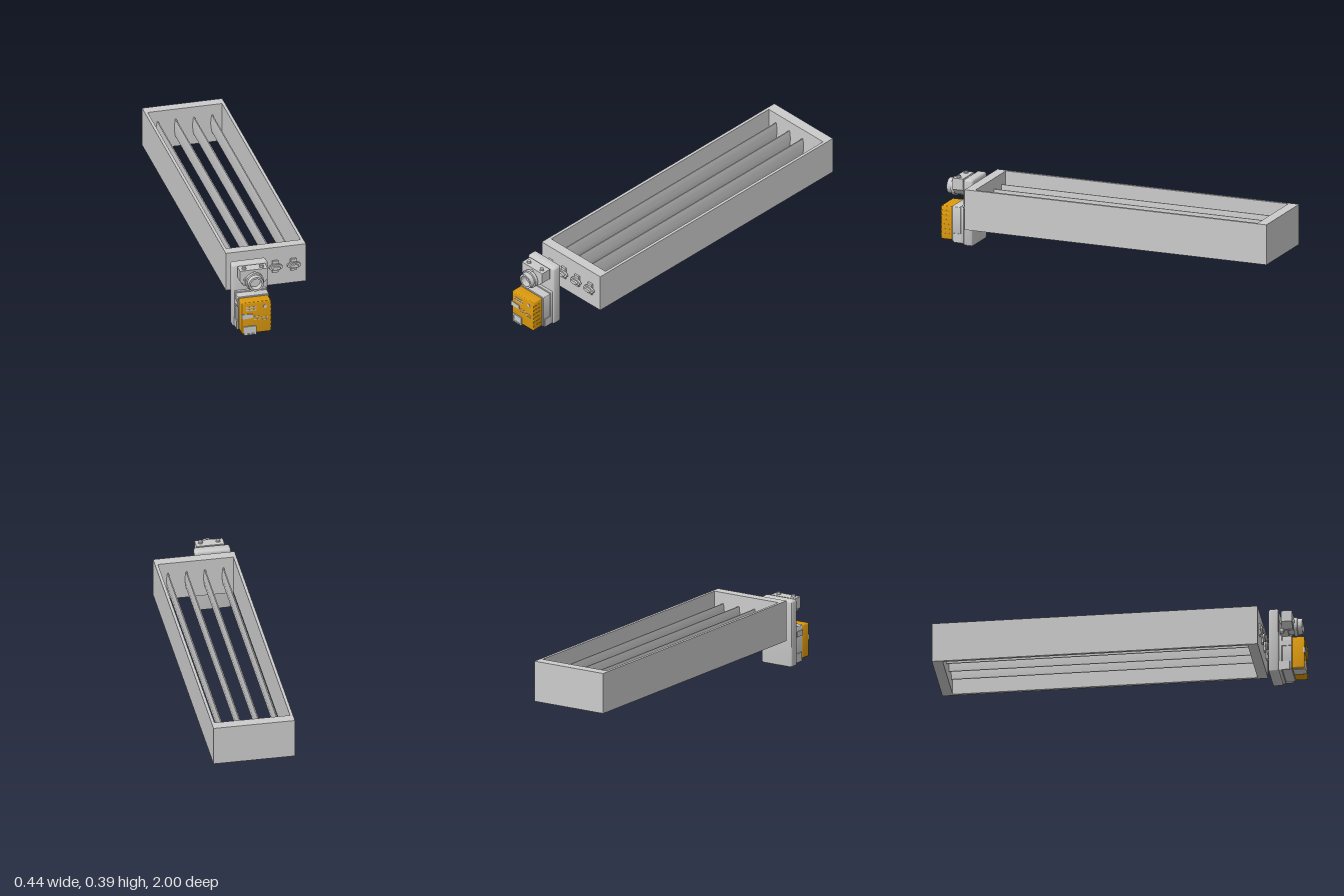
import * as THREE from 'three';
import { toCreasedNormals } from 'three/addons/utils/BufferGeometryUtils.js';

const grey = new THREE.MeshStandardMaterial({ color: 0xcccccc });
const amber = new THREE.MeshStandardMaterial({ color: 0xdb990f });

function add(parent, name, geometry, x = 0, y = 0, z = 0, material = grey) {
  const mesh = new THREE.Mesh(geometry, material);
  mesh.name = name;
  mesh.position.set(x, y, z);
  parent.add(mesh);
  return mesh;
}

// Box given by its limits
function box(parent, name, x0, x1, y0, y1, z0, z1, material = grey) {
  return add(parent, name, new THREE.BoxGeometry(x1 - x0, y1 - y0, z1 - z0),
    (x0 + x1) / 2, (y0 + y1) / 2, (z0 + z1) / 2, material);
}

// Extrusion along z between z0 and z1, with an optional rounded edge that stays inside the outline
function prism(shape, z0, z1, bevel = 0, segments = 1) {
  const g = new THREE.ExtrudeGeometry(shape, {
    depth: z1 - z0 - 2 * bevel, bevelEnabled: bevel > 0, bevelThickness: bevel,
    bevelSize: bevel, bevelOffset: -bevel, bevelSegments: segments, curveSegments: 12,
  });
  g.translate(0, 0, z0 + bevel);
  return toCreasedNormals(g, 0.6);
}

function roundedRect(x0, x1, y0, y1, r) {
  const s = new THREE.Shape();
  s.absarc(x1 - r, y1 - r, r, 0, Math.PI / 2);
  s.absarc(x0 + r, y1 - r, r, Math.PI / 2, Math.PI);
  s.absarc(x0 + r, y0 + r, r, Math.PI, Math.PI * 1.5);
  s.absarc(x1 - r, y0 + r, r, Math.PI * 1.5, Math.PI * 2);
  s.closePath();
  return s;
}

const polygon = pts => new THREE.Shape(pts.map(p => new THREE.Vector2(...p)));

function ellipse(rx, ry) {
  const s = new THREE.Shape();
  s.absellipse(0, 0, rx, ry, 0, Math.PI * 2);
  return s;
}

// Disc or stub with its axis along z
function stub(parent, name, x, y, r, z0, z1) {
  const g = new THREE.CylinderGeometry(r, r, z1 - z0, 24);
  g.rotateX(Math.PI / 2);
  return add(parent, name, g, x, y, (z0 + z1) / 2);
}

function createDamper() {
  const damper = new THREE.Group();
  damper.name = 'damper';

  // Open duct frame, extruded upwards
  const outline = polygon([[-0.22, -0.745], [0.22, -0.745], [0.22, 1], [-0.22, 1]]);
  outline.holes.push(new THREE.Path([[-0.204, -0.69], [-0.204, 0.943], [0.204, 0.943], [0.204, -0.69]]
    .map(p => new THREE.Vector2(...p))));
  const frame = new THREE.ExtrudeGeometry(outline, { depth: 0.221, bevelEnabled: false });
  frame.rotateX(-Math.PI / 2);
  add(damper, 'frame', frame, 0, 0.167, 0);

  // Blades with a thicker spine, and their bearings on the front wall
  const section = polygon([[-0.003, -0.05], [0.003, -0.05], [0.008, -0.008], [0.008, 0.008],
    [0.003, 0.05], [-0.003, 0.05], [-0.008, 0.008], [-0.008, -0.008]]);
  const blade = prism(section, -0.943, 0.69);
  const flange = prism(ellipse(0.037, 0.018), 0.754, 0.766);
  const cap = prism(ellipse(0.024, 0.01), 0.766, 0.778);
  for (const x of [-0.15, -0.05, 0.05, 0.15]) {
    add(damper, 'blade', blade, x, 0.278, 0);
    const bearing = new THREE.Group();
    bearing.name = 'bearing';
    bearing.position.set(x, 0.278, 0);
    add(bearing, 'bearingFlange', flange);
    add(bearing, 'bearingCap', cap);
    box(bearing, 'bearingTab', -0.016, 0.016, -0.034, 0.034, 0.744, 0.756);
    damper.add(bearing);
  }
  return damper;
}

function createClamp() {
  const clamp = new THREE.Group();
  clamp.name = 'shaftClamp';
  const cx = -0.113, cy = 0.303;

  // Bracket with sloping lower corners
  const plate = polygon([[-0.155, 0.272], [-0.071, 0.272], [-0.037, 0.304],
    [-0.037, 0.366], [-0.189, 0.366], [-0.189, 0.304]]);
  add(clamp, 'clampBracket', prism(plate, 0.866, 0.925));
  stub(clamp, 'clampCore', cx, cy, 0.036, 0.85, 0.94);

  // Grooved collar, open at the front
  const profile = [[0.031, 0.935], [0.031, 0.975], [0.041, 0.975], [0.043, 0.968], [0.043, 0.95],
    [0.05, 0.948], [0.05, 0.93], [0.04, 0.928], [0.04, 0.9], [0.047, 0.898], [0.047, 0.855]]
    .map(p => new THREE.Vector2(...p)).reverse();
  const collar = new THREE.LatheGeometry(profile, 48);
  collar.rotateX(Math.PI / 2);
  add(clamp, 'collar', toCreasedNormals(collar, 0.6), cx, cy, 0,
    new THREE.MeshStandardMaterial({ color: 0xcccccc, side: THREE.DoubleSide }));
  stub(clamp, 'collarPointer', cx + 0.003, cy + 0.046, 0.007, 0.925, 0.948);

  // Clamp bolts
  for (const x of [-0.16, -0.065]) {
    add(clamp, 'boltHead', new THREE.CylinderGeometry(0.01, 0.01, 0.012, 20), x, 0.371, 0.9);
    add(clamp, 'boltNeck', new THREE.CylinderGeometry(0.013, 0.013, 0.004, 20), x, 0.367, 0.9);
  }
  stub(clamp, 'stopPin', -0.16, 0.313, 0.01, 0.85, 0.935);
  stub(clamp, 'releaseButton', -0.152, 0.265, 0.013, 0.85, 0.875);
  stub(clamp, 'releaseButtonTop', -0.152, 0.265, 0.009, 0.87, 0.88);
  return clamp;
}

function createActuator() {
  const actuator = new THREE.Group();
  actuator.name = 'actuator';

  // Rounded housing and stepped body
  add(actuator, 'housing', prism(roundedRect(-0.213, -0.018, 0.003, 0.371, 0.014), 0.802, 0.857, 0.012, 4));
  const body = roundedRect(-0.203, -0.026, 0.012, 0.219, 0.005);
  add(actuator, 'bodyStep', prism(body, 0.85, 0.875, 0.003));
  add(actuator, 'body', prism(roundedRect(-0.199, -0.029, 0.02, 0.213, 0.005), 0.87, 0.927, 0.003));
  box(actuator, 'sideClip', -0.204, -0.196, 0.155, 0.185, 0.87, 0.925);
  for (const x of [-0.202, -0.029]) {
    box(actuator, 'guideRail', x - 0.003, x + 0.003, 0.015, 0.065, 0.855, 0.915);
  }

  // Coloured cover
  add(actuator, 'cover', prism(roundedRect(-0.197, -0.035, 0.024, 0.208, 0.007), 0.925, 0.993, 0.006, 3),
    0, 0, 0, amber);
  for (const y of [0.052, 0.077, 0.104, 0.13, 0.155, 0.18]) {
    box(actuator, 'coverRib', -0.045, -0.034, y - 0.005, y + 0.005, 0.94, 0.992, amber);
  }

  // Markings, indicator and lever on the cover face
  const bars = [[-0.175, -0.116, 0.178, 0.007], [-0.175, -0.116, 0.163, 0.007], [-0.13, -0.094, 0.122, 0.004],
    [-0.13, -0.094, 0.105, 0.004], [-0.09, -0.054, 0.114, 0.004], [-0.09, -0.054, 0.099, 0.003]];
  for (const [x0, x1, y, h] of bars) {
    box(actuator, 'coverSlot', x0, x1, y - h / 2, y + h / 2, 0.99, 0.9945);
  }
  stub(actuator, 'indicator', -0.07, 0.176, 0.01, 0.985, 0.9945);
  const lever = polygon([[-0.197, 0.114], [-0.138, 0.117], [-0.138, 0.139], [-0.197, 0.143]]);
  add(actuator, 'lever', prism(lever, 0.985, 0.997));

  // Cable socket: a raised rim around a plug
  const rim = roundedRect(-0.186, -0.12, 0.019, 0.069, 0.002);
  rim.holes.push(roundedRect(-0.177, -0.129, 0.026, 0.062, 0.001));
  add(actuator, 'socketRim', prism(rim, 0.93, 1));
  box(actuator, 'socketPlug', -0.177, -0.129, 0.026, 0.062, 0.93, 0.996);

  actuator.add(createClamp());
  return actuator;
}

export function createModel() {
  const model = new THREE.Group();
  model.name = 'motorisedDamper';
  model.add(createDamper(), createActuator());
  return model;
}
